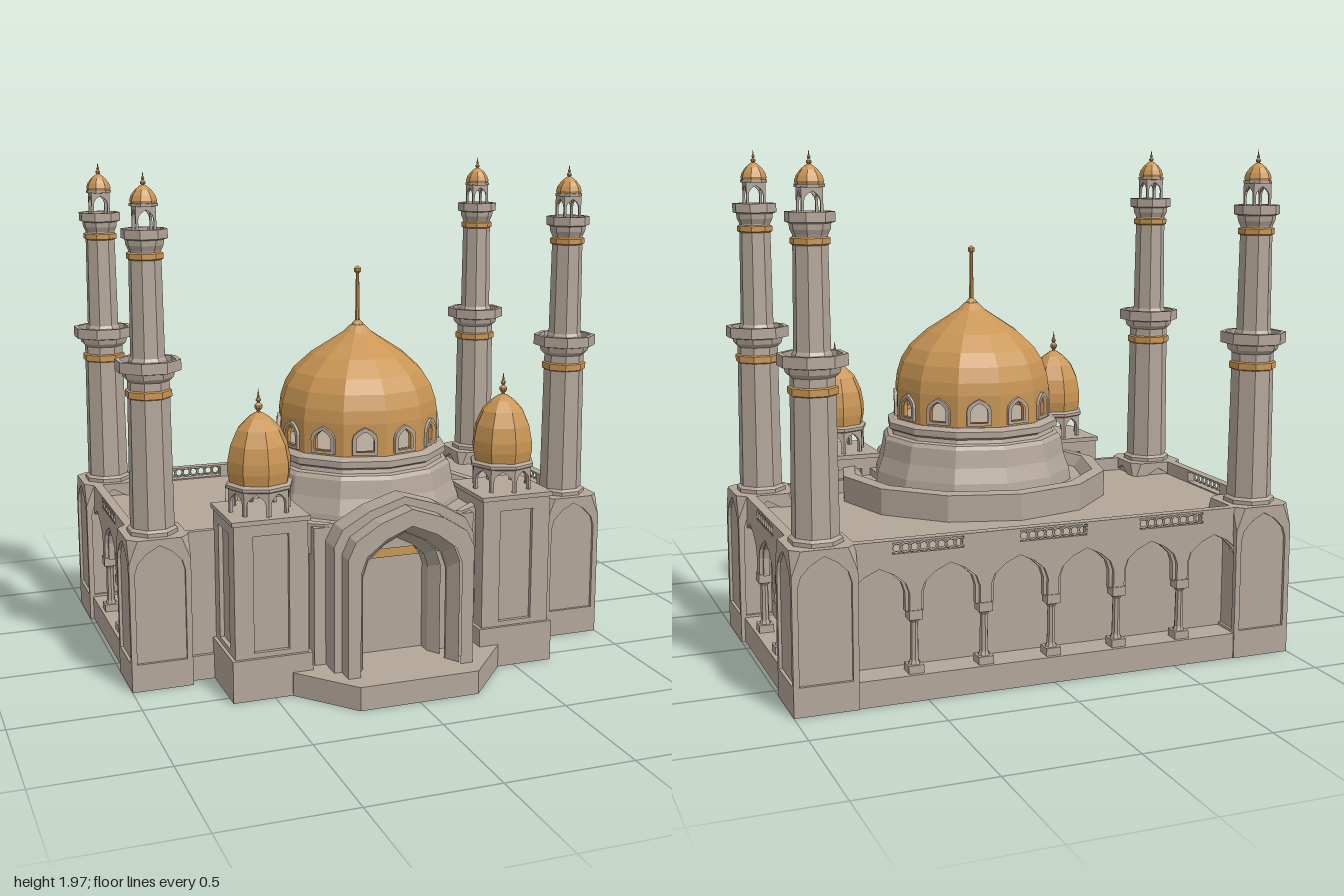
import * as THREE from 'three';
import { ConvexGeometry } from 'three/addons/geometries/ConvexGeometry.js';

const stone = new THREE.MeshStandardMaterial({ color: 0xb3a699 });
stone.name = 'stone';
const gold = new THREE.MeshStandardMaterial({ color: 0xc99554 });
gold.name = 'gold';

function add(parent, name, geo, mat, x = 0, y = 0, z = 0, ry = 0) {
  const m = new THREE.Mesh(geo, mat);
  m.name = name;
  m.position.set(x, y, z);
  m.rotation.y = ry;
  parent.add(m);
  return m;
}
function group(parent, name, x = 0, y = 0, z = 0, ry = 0) {
  const g = new THREE.Group();
  g.name = name;
  g.position.set(x, y, z);
  g.rotation.y = ry;
  parent.add(g);
  return g;
}
// Box given by its limits
function block(parent, name, x0, x1, y0, y1, z0, z1) {
  return add(parent, name, new THREE.BoxGeometry(x1 - x0, y1 - y0, z1 - z0), stone,
    (x0 + x1) / 2, (y0 + y1) / 2, (z0 + z1) / 2);
}
const pts = (a) => a.map(([x, y]) => new THREE.Vector2(x, y));
const hull = (a) => new ConvexGeometry(a.map((p) => new THREE.Vector3(...p)));

// Faceted turned form; flat turns the faces, not the corners, to the front
function turned(profile, sides, flat = false) {
  const k = flat ? 1 / Math.cos(Math.PI / sides) : 1;
  const g = new THREE.LatheGeometry(pts(profile.map(([r, y]) => [r * k, y])), sides,
    flat ? Math.PI / sides : 0).toNonIndexed();
  g.computeVertexNormals();
  return g;
}
// Pointed arch outline
function arch(h, y0, ys, yp, cx = 0) {
  const d = yp - ys;
  const half = [[1, ys], [0.88, ys + 0.38 * d], [0.5, ys + 0.74 * d]];
  return [[-h, y0], ...half.map(([x, y]) => [-h * x, y]), [0, yp],
    ...half.reverse().map(([x, y]) => [h * x, y]), [h, y0]].map(([x, y]) => [x + cx, y]);
}
const rect = (w, y0, y1, cx = 0) => [[cx - w, y0], [cx + w, y0], [cx + w, y1], [cx - w, y1]];
function plate(outline, holes, depth) {
  const s = new THREE.Shape(pts(outline));
  s.holes = holes.map((h) => new THREE.Path(pts(h)));
  return new THREE.ExtrudeGeometry(s, { depth, bevelEnabled: false });
}
// Splayed reveal from a large arch in front to a small one behind
function reveal(a, za, b, zb) {
  const pos = [];
  for (let i = 0; i < a.length - 1; i++) {
    const a0 = [...a[i], za], a1 = [...a[i + 1], za], b0 = [...b[i], zb], b1 = [...b[i + 1], zb];
    pos.push(...a0, ...b0, ...b1, ...a0, ...b1, ...a1);
  }
  const g = new THREE.BufferGeometry();
  g.setAttribute('position', new THREE.Float32BufferAttribute(pos, 3));
  g.computeVertexNormals();
  return g;
}
// Ring of flat panels with arched openings; r is the corner radius
function archRing(parent, name, n, r, y0, y1, hole, depth, mat, offset, frame) {
  const g = group(parent, name);
  const w = r * Math.sin(Math.PI / n), apo = r * Math.cos(Math.PI / n);
  for (let i = 0; i < n; i++) {
    const side = group(g, 'side', 0, 0, 0, (i + offset) * 2 * Math.PI / n);
    add(side, 'archPanel', plate(rect(w, y0, y1), [hole], depth), mat, 0, 0, apo - depth);
    if (frame) add(side, 'windowFrame', plate(frame, [hole], depth + 0.012), stone, 0, 0, apo - depth);
  }
}
function finial(parent, y, s) {
  add(parent, 'finial', turned([[0.012, 0], [0.006, 0.015], [0.016, 0.027], [0.016, 0.036], [0.005, 0.047],
    [0.011, 0.056], [0.005, 0.066], [0, 0.1]].map(([a, b]) => [a * s, b * s]), 8), gold, 0, y);
}

// Corner block with arched panels and chamfered top corners, carrying a minaret
function cornerTower(parent, x, z) {
  const t = group(parent, 'cornerTower', x, 0, z);
  const square = [[1, 1], [1, -1], [-1, 1], [-1, -1]];
  add(t, 'blockCore', hull(square.flatMap(([a, b]) => [[a * 0.108, 0, b * 0.108], [a * 0.108, 0.5, b * 0.108],
    [a * 0.108, 0.6, b * 0.085], [a * 0.085, 0.6, b * 0.108]])), stone);
  const chamfer = hull([[0.12, 0.51, 0.12], [0.085, 0.6, 0.12], [0.12, 0.6, 0.085], [0.1, 0.51, 0.1],
    [0.085, 0.6, 0.085]]);
  const face = [[-0.12, 0], [0.12, 0], [0.12, 0.51], [0.085, 0.6], [-0.085, 0.6], [-0.12, 0.51]];
  for (let i = 0; i < 4; i++) {
    const side = group(t, 'blockSide', 0, 0, 0, i * Math.PI / 2);
    add(side, 'archedPanel', plate(face, [arch(0.098, 0.11, 0.47, 0.575)], 0.012), stone, 0, 0, 0.108);
    add(side, 'cornerChamfer', chamfer, stone);
  }
  add(t, 'lowerShaft', turned([[0.092, 0.6], [0.092, 0.615], [0.08, 0.625], [0.075, 1.19], [0.09, 1.205],
    [0.094, 1.225], [0.117, 1.23], [0.117, 1.272], [0.1, 1.272], [0.1, 1.25], [0.05, 1.25]], 8, true), stone);
  add(t, 'lowerGoldBand', turned([[0.074, 1.125], [0.083, 1.13], [0.083, 1.155], [0.074, 1.16]], 8, true), gold);
  add(t, 'upperShaft', turned([[0.067, 1.25], [0.067, 1.27], [0.061, 1.28], [0.057, 1.68], [0.066, 1.70],
    [0.068, 1.72], [0.081, 1.725], [0.081, 1.76], [0.069, 1.76], [0.069, 1.74], [0, 1.74]], 8, true), stone);
  add(t, 'upperGoldBand', turned([[0.057, 1.645], [0.065, 1.65], [0.065, 1.67], [0.057, 1.675]], 8, true), gold);
  archRing(t, 'lantern', 4, 0.054, 1.74, 1.845, arch(0.029, 1.741, 1.795, 1.83), 0.009, stone, 0);
  add(t, 'lanternCornice', turned([[0, 1.838], [0.05, 1.842], [0.05, 1.853], [0, 1.853]], 8, true), stone);
  add(t, 'lanternDome', turned([[0.045, 1.853], [0.048, 1.863], [0.042, 1.882], [0.028, 1.902], [0.012, 1.916],
    [0, 1.922]], 8, true), gold);
  finial(t, 1.908, 0.62);
}

// Square front turret with an open ring and an onion dome
function turret(parent, x) {
  const t = group(parent, 'frontTurret', x, 0, 0.4);
  block(t, 'turretPlinth', -0.158, 0.158, 0, 0.165, -0.158, 0.158);
  block(t, 'turretCore', -0.128, 0.128, 0.165, 0.69, -0.128, 0.128);
  for (let i = 0; i < 4; i++) {
    const side = group(t, 'turretSide', 0, 0, 0, i * Math.PI / 2);
    add(side, 'turretPanel', plate(rect(0.145, 0.165, 0.69), [rect(0.07, 0.185, 0.64)], 0.017), stone, 0, 0, 0.128);
  }
  block(t, 'turretCap', -0.153, 0.153, 0.685, 0.703, -0.153, 0.153);
  archRing(t, 'turretArcade', 8, 0.123, 0.7, 0.8, arch(0.036, 0.703, 0.745, 0.785), 0.014, stone, 0.5);
  add(t, 'turretCornice', turned([[0, 0.79], [0.118, 0.79], [0.132, 0.798], [0.132, 0.81], [0.115, 0.82],
    [0, 0.82]], 8), stone);
  add(t, 'turretDome', turned([[0.117, 0.815], [0.125, 0.86], [0.124, 0.9], [0.112, 0.96], [0.085, 1.018],
    [0.045, 1.058], [0.015, 1.078], [0, 1.082]], 8), gold);
  finial(t, 1.07, 1);
}

// Arcade seen along +z: wall on pointed arches, columns and pierced grilles
function arcade(parent, half, arches, grilles, x, z, ry) {
  const a = group(parent, 'arcade', x, 0, z, ry);
  const step = 0.27;
  const centres = Array.from({ length: arches }, (_, i) => (i - (arches - 1) / 2) * step);
  const outline = (h) => [[half, 0.6], [-half, 0.6], [-half, 0.33],
    ...centres.flatMap((c) => arch(h, 0.33, 0.4, 0.5, c)), [half, 0.33]];
  const holes = grilles.map((c) => rect(0.135, 0.55, 0.592, c));
  add(a, 'archWall', plate(outline(0.113), holes, 0.014), stone, 0, 0, -0.014);
  add(a, 'archWallInner', plate(outline(0.1), holes, 0.024), stone, 0, 0, -0.038);
  for (const c of grilles) {
    for (let i = 0; i < 8; i++) {
      add(a, 'grilleRing', new THREE.TorusGeometry(0.018, 0.005, 4, 8), stone, c - 0.119 + i * 0.034, 0.571, -0.004);
    }
  }
  for (let i = 0; i < arches - 1; i++) {
    const c = group(a, 'column', centres[i] + step / 2, 0, -0.022);
    block(c, 'columnBase', -0.029, 0.029, 0.1, 0.13, -0.029, 0.029);
    add(c, 'columnShaft', turned([[0.023, 0.13], [0.017, 0.145], [0.015, 0.285], [0.024, 0.3]], 8), stone);
    block(c, 'columnCapital', -0.026, 0.026, 0.3, 0.335, -0.026, 0.026);
  }
}

export function createModel() {
  const model = new THREE.Group();
  model.name = 'domedBuilding';

  // Main hall
  block(model, 'plinth', -0.985, 0.985, 0, 0.1, -0.79, 0.285);
  block(model, 'hall', -0.87, 0.87, 0.1, 0.52, -0.67, 0.25);
  block(model, 'roof', -0.94, 0.94, 0.51, 0.545, -0.74, 0.26);
  block(model, 'frontWall', -0.96, 0.96, 0.1, 0.6, 0.245, 0.27);
  arcade(model, 0.88, 6, [-0.49, 0, 0.49], 0, -0.768, Math.PI);
  for (const s of [-1, 1]) {
    arcade(model, 0.44, 3, [0], s * 0.965, -0.235, s * Math.PI / 2);
    for (const z of [-0.675, 0.205]) cornerTower(model, s * 0.88, z);
    turret(model, s * 0.507);
  }

  // Stepped dome base, cut flat towards the portal
  const dome = group(model, 'mainDome', 0, 0, 0.1);
  const base = turned([[0.56, 0.53], [0.56, 0.65], [0.51, 0.655], [0.475, 0.61], [0.42, 0.61], [0.412, 0.66],
    [0.39, 0.72], [0.378, 0.79], [0.365, 0.805], [0.345, 0.81], [0.34, 0.825], [0.36, 0.835], [0.36, 0.86],
    [0.335, 0.872], [0, 0.872]], 12);
  const p = base.attributes.position;
  for (let i = 0; i < p.count; i++) p.setZ(i, Math.min(p.getZ(i), 0.418));
  base.computeVertexNormals();
  add(dome, 'domeBase', base, stone);
  archRing(dome, 'domeDrum', 12, 0.325, 0.868, 1.0, arch(0.035, 0.892, 0.935, 0.972), 0.016, gold, 0.5,
    arch(0.05, 0.88, 0.94, 0.988));
  add(dome, 'domeShell', turned([[0.325, 1.0], [0.318, 1.05], [0.298, 1.11], [0.262, 1.165], [0.19, 1.23],
    [0.115, 1.278], [0.058, 1.315], [0.03, 1.342], [0, 1.352]], 12), gold);
  add(dome, 'domeSpire', turned([[0.03, 1.335], [0.022, 1.35], [0.01, 1.362], [0.007, 1.55], [0.015, 1.557],
    [0.015, 1.569], [0, 1.58]], 8), gold);

  // Entrance bay with a niche for the door
  block(model, 'entranceBay', -0.4, 0.4, 0, 0.64, 0.15, 0.46);
  add(model, 'nicheWall', plate(rect(0.33, 0, 0.64), [arch(0.138, 0.093, 0.44, 0.575)], 0.06), stone, 0, 0, 0.46);

  // Nested portal arches with splayed reveals, and the fanlight
  const portal = group(model, 'portal');
  const wide = arch(0.205, 0.093, 0.5, 0.665), middle = arch(0.17, 0.093, 0.46, 0.62);
  add(portal, 'outerArch', plate(arch(0.285, 0.09, 0.59, 0.76), [middle], 0.1), stone, 0, 0, 0.52);
  add(portal, 'frontArch', plate(arch(0.255, 0.09, 0.56, 0.73), [wide], 0.075), stone, 0, 0, 0.62);
  add(portal, 'outerReveal', reveal(wide, 0.675, middle, 0.615), stone);
  add(portal, 'innerReveal', reveal(middle, 0.57, arch(0.138, 0.093, 0.44, 0.575), 0.52), stone);
  add(portal, 'fanlight', plate([[-0.105, 0.493], [0.105, 0.493], [0.08, 0.53], [0.045, 0.552], [0, 0.562],
    [-0.045, 0.552], [-0.08, 0.53]], [], 0.008), gold, 0, 0, 0.5);

  // Entrance terrace
  const terrace = plate([[-0.43, -0.4], [-0.43, -0.56], [-0.24, -0.785], [0.24, -0.785], [0.43, -0.56], [0.43, -0.4]],
    [], 0.093);
  terrace.rotateX(-Math.PI / 2);
  add(model, 'terrace', terrace, stone);

  return model;
}
